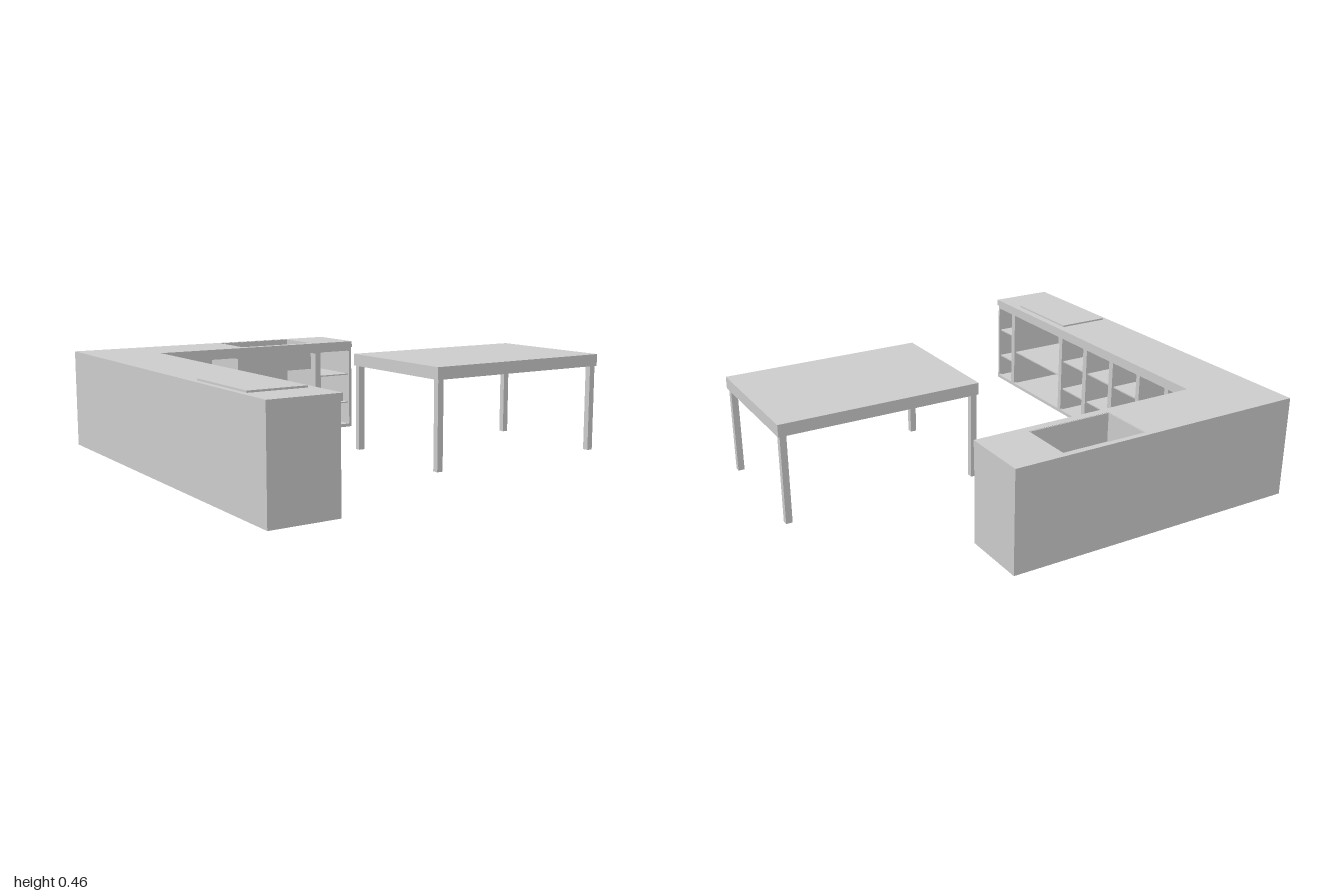
import * as THREE from 'three';

const material = new THREE.MeshStandardMaterial({ color: 0xcccccc, flatShading: true });

const TOP = 0.455, UNDER = 0.425, FLOOR = 0.015;
const FRAME = 0.015, DEPTH = 0.3;
const OPEN_LOW = 0.016, OPEN_HIGH = 0.406;
const SINK = { x0: -0.237, x1: 0.16, z0: -0.922, z1: -0.678, bottom: 0.32 };

function addMesh(parent, name, geometry) {
  const mesh = new THREE.Mesh(geometry, material);
  mesh.name = name;
  parent.add(mesh);
  return mesh;
}

// Box given by its lower and upper limits on each axis
function addBox(parent, name, [x0, x1], [y0, y1], [z0, z1]) {
  const mesh = addMesh(parent, name, new THREE.BoxGeometry(x1 - x0, y1 - y0, z1 - z0));
  mesh.position.set((x0 + x1) / 2, (y0 + y1) / 2, (z0 + z1) / 2);
  return mesh;
}

function polygon(points, Type = THREE.Shape) {
  return new Type(points.map(([x, y]) => new THREE.Vector2(x, y)));
}

const rectangle = (x0, x1, y0, y1) => [[x0, y0], [x1, y0], [x1, y1], [x0, y1]];

// Rectangle with slightly cut corners for the cabinet openings
function openingPath(x0, x1, y0, y1, c = 0.004) {
  return polygon([
    [x0 + c, y0], [x1 - c, y0], [x1, y0 + c], [x1, y1 - c],
    [x1 - c, y1], [x0 + c, y1], [x0, y1 - c], [x0, y0 + c],
  ], THREE.Path);
}

// Horizontal L-shaped slab; innerX and innerZ are the front edges of the two runs
function addCornerSlab(parent, name, y0, y1, innerX, innerZ, hole) {
  const shape = polygon([
    [-1, -0.945], [innerX, -0.945], [innerX, -innerZ],
    [0.39, -innerZ], [0.39, 0.945], [-1, 0.945],
  ]);
  if (hole) shape.holes.push(polygon(hole, THREE.Path));
  const geometry = new THREE.ExtrudeGeometry(shape, { depth: y1 - y0, bevelEnabled: false });
  geometry.rotateX(-Math.PI / 2);
  return addMesh(parent, name, geometry).position.setY(y0);
}

// A run of open cabinets facing local +z: bays are [start, end, shelf heights]
function cabinetRun(name, start, end, bays) {
  const run = new THREE.Group();
  run.name = name;

  const face = polygon(rectangle(start, end, 0, UNDER));
  bays.forEach(([a, b]) => face.holes.push(openingPath(a, b, OPEN_LOW, OPEN_HIGH)));
  const frame = addMesh(run, 'faceFrame',
    new THREE.ExtrudeGeometry(face, { depth: FRAME, bevelEnabled: false }));
  frame.position.z = -FRAME;

  // Dividers between neighbouring bays, and shelves inside each bay
  bays.forEach(([a, b, shelves], i) => {
    if (i > 0) {
      addBox(run, 'divider', [bays[i - 1][1], a], [FLOOR, UNDER], [-DEPTH + 0.008, -FRAME]);
    }
    shelves.forEach((y) =>
      addBox(run, 'shelf', [a, b], [y - 0.003, y + 0.003], [-DEPTH + 0.008, -0.01]));
  });
  return run;
}

function createCounter() {
  const counter = new THREE.Group();
  counter.name = 'cornerCounter';
  const three = [0.13, 0.28], two = [0.195];

  const left = cabinetRun('sideCabinets', -0.945, 0.645, [
    [-0.934, -0.807, three],
    [-0.777, -0.35, two],
    [-0.325, -0.142, three],
    [-0.112, 0.071, three],
    [0.1, 0.28, three],
    [0.305, 0.482, three],
    [0.508, 0.635, []],
  ]);
  left.rotation.y = Math.PI / 2;
  left.position.x = -0.698;

  const back = cabinetRun('backCabinets', -0.698, 0.39, [
    [-0.687, -0.561, []],
    [-0.532, -0.281, three],
    [-0.254, 0.168, two],
    [0.2, 0.377, three],
  ]);
  back.position.z = -0.645;
  counter.add(left, back);

  // Floor, outer panels and ends
  addCornerSlab(counter, 'cabinetFloor', 0, FLOOR, -0.699, -0.646);
  addBox(counter, 'sideBackPanel', [-1, -0.99], [0, UNDER], [-0.945, 0.945]);
  addBox(counter, 'rearBackPanel', [-1, 0.39], [0, UNDER], [-0.945, -0.935]);
  addBox(counter, 'frontEndPanel', [-1, -0.7], [0, UNDER], [0.934, 0.945]);
  addBox(counter, 'rightEndPanel', [0.377, 0.39], [0, UNDER], [-0.945, -0.647]);

  // Worktop with the sink cut out
  addCornerSlab(counter, 'worktop', UNDER, TOP, -0.69, -0.64,
    rectangle(SINK.x0, SINK.x1, -SINK.z1, -SINK.z0));
  addBox(counter, 'cooktop', [-0.975, -0.725], [TOP, 0.463], [0.357, 0.763]);
  return counter;
}

function createSink() {
  const sink = new THREE.Group();
  sink.name = 'sink';
  const { x0, x1, z0, z1, bottom } = SINK;
  const t = 0.004, walls = [bottom, TOP - 0.001];
  addBox(sink, 'sinkBottom', [x0, x1], [bottom, bottom + t], [z0, z1]);
  addBox(sink, 'sinkWall', [x0, x0 + t], walls, [z0, z1]);
  addBox(sink, 'sinkWall', [x1 - t, x1], walls, [z0, z1]);
  addBox(sink, 'sinkWall', [x0, x1], walls, [z0, z0 + t]);
  addBox(sink, 'sinkWall', [x0, x1], walls, [z1 - t, z1]);
  return sink;
}

function createTable() {
  const table = new THREE.Group();
  table.name = 'table';
  addBox(table, 'tableTop', [0.055, 0.997], [0.4, TOP], [-0.112, 0.53]);
  for (const x of [0.062, 0.96]) {
    for (const z of [-0.106, 0.496]) {
      addBox(table, 'tableLeg', [x, x + 0.029], [0, 0.4], [z, z + 0.028]);
    }
  }
  return table;
}

export function createModel() {
  const model = new THREE.Group();
  model.name = 'kitchen';
  model.add(createCounter(), createSink(), createTable());
  return model;
}
